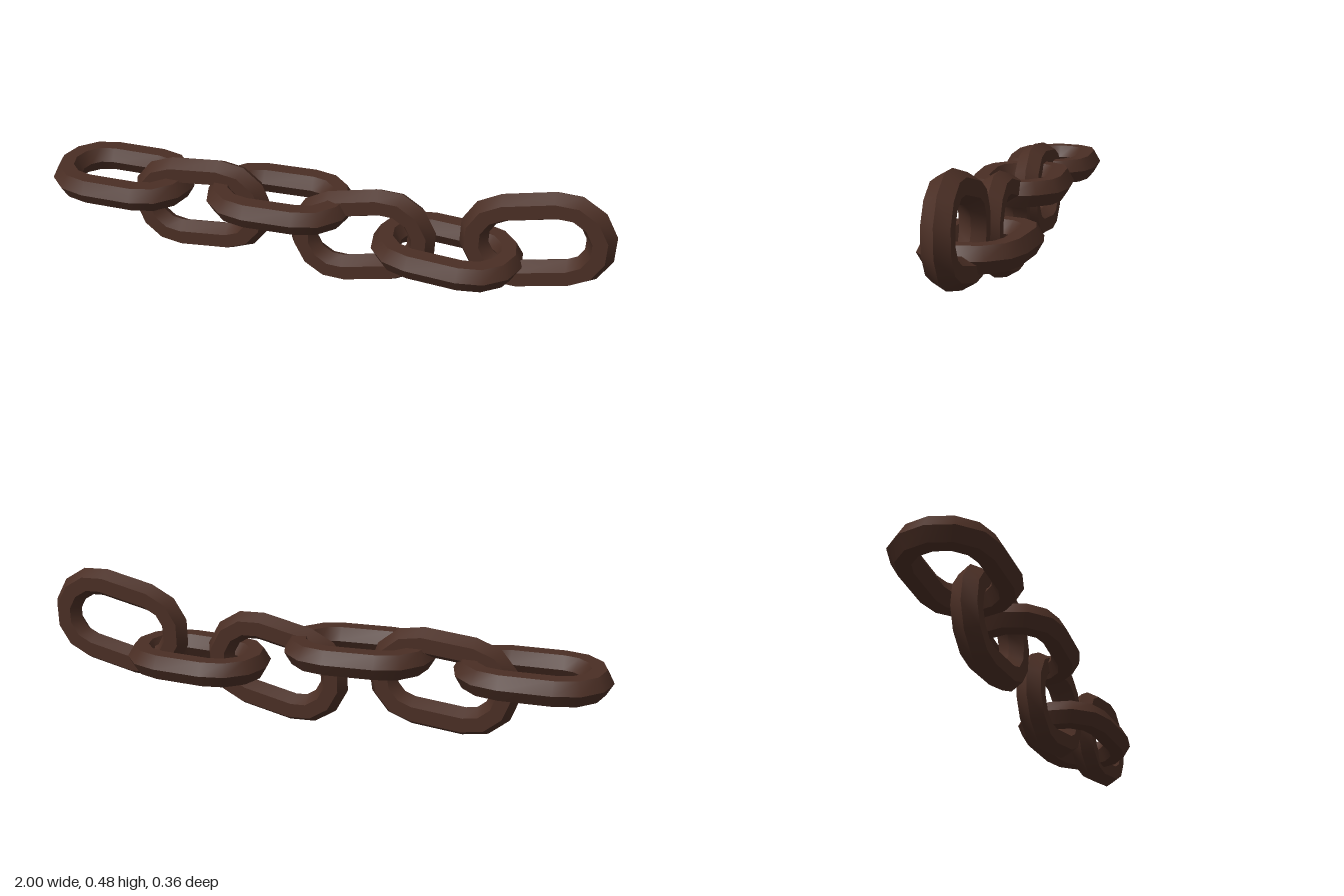
import * as THREE from 'three';
import { toCreasedNormals } from 'three/addons/utils/BufferGeometryUtils.js';

const HALF_STRAIGHT = 0.0875; // half length of the straight sides
const BEND = 0.125;           // centreline radius of the rounded ends
const BAR = 0.05;             // radius of the six-sided bar
const ARC_STEPS = 6, SIDES = 6;

// Closed oval link lying in the XY plane, long axis along x
function linkGeometry() {
  const rings = [];
  for (const end of [0, 1]) {
    for (let i = 0; i <= ARC_STEPS; i++) {
      const a = -Math.PI / 2 + Math.PI * (i / ARC_STEPS + end);
      rings.push({ cx: end ? -HALF_STRAIGHT : HALF_STRAIGHT, nx: Math.cos(a), ny: Math.sin(a) });
    }
  }
  const positions = [], indices = [];
  rings.forEach(({ cx, nx, ny }, i) => {
    const next = (i + 1) % rings.length;
    for (let j = 0; j < SIDES; j++) {
      const t = (j / SIDES) * Math.PI * 2;
      const r = BEND + BAR * Math.cos(t);
      positions.push(cx + nx * r, ny * r, BAR * Math.sin(t));
      const k = (j + 1) % SIDES;
      const a = i * SIDES + j, b = next * SIDES + j;
      const c = next * SIDES + k, d = i * SIDES + k;
      indices.push(a, b, c, a, c, d);
    }
  });
  const geometry = new THREE.BufferGeometry();
  geometry.setAttribute('position', new THREE.Float32BufferAttribute(positions, 3));
  geometry.setIndex(indices);
  // Sharp edges along the bar, smooth around the bends
  return toCreasedNormals(geometry, 0.7);
}

export function createModel() {
  const model = new THREE.Group();
  model.name = 'chain';
  const rust = new THREE.MeshStandardMaterial({ color: 0x4a2e24 });
  rust.name = 'darkRust';
  const geometry = linkGeometry();

  // Links alternate flat and upright: x, y, swing in degrees
  const links = [
    [-0.737, 0.268, 1],
    [-0.442, 0.211, 6],
    [-0.148, 0.286, 3],
    [0.148, 0.195, 13],
    [0.443, 0.194, -5],
    [0.74, 0.296, 13],
  ];
  links.forEach(([x, y, swing], i) => {
    const flat = i % 2 === 0;
    const link = new THREE.Mesh(geometry, rust);
    link.name = (flat ? 'flatLink' : 'uprightLink') + (i + 1);
    link.position.set(x, y, 0);
    link.rotation.set(flat ? -Math.PI / 2 : 0, 0, THREE.MathUtils.degToRad(swing));
    model.add(link);
  });
  return model;
}
